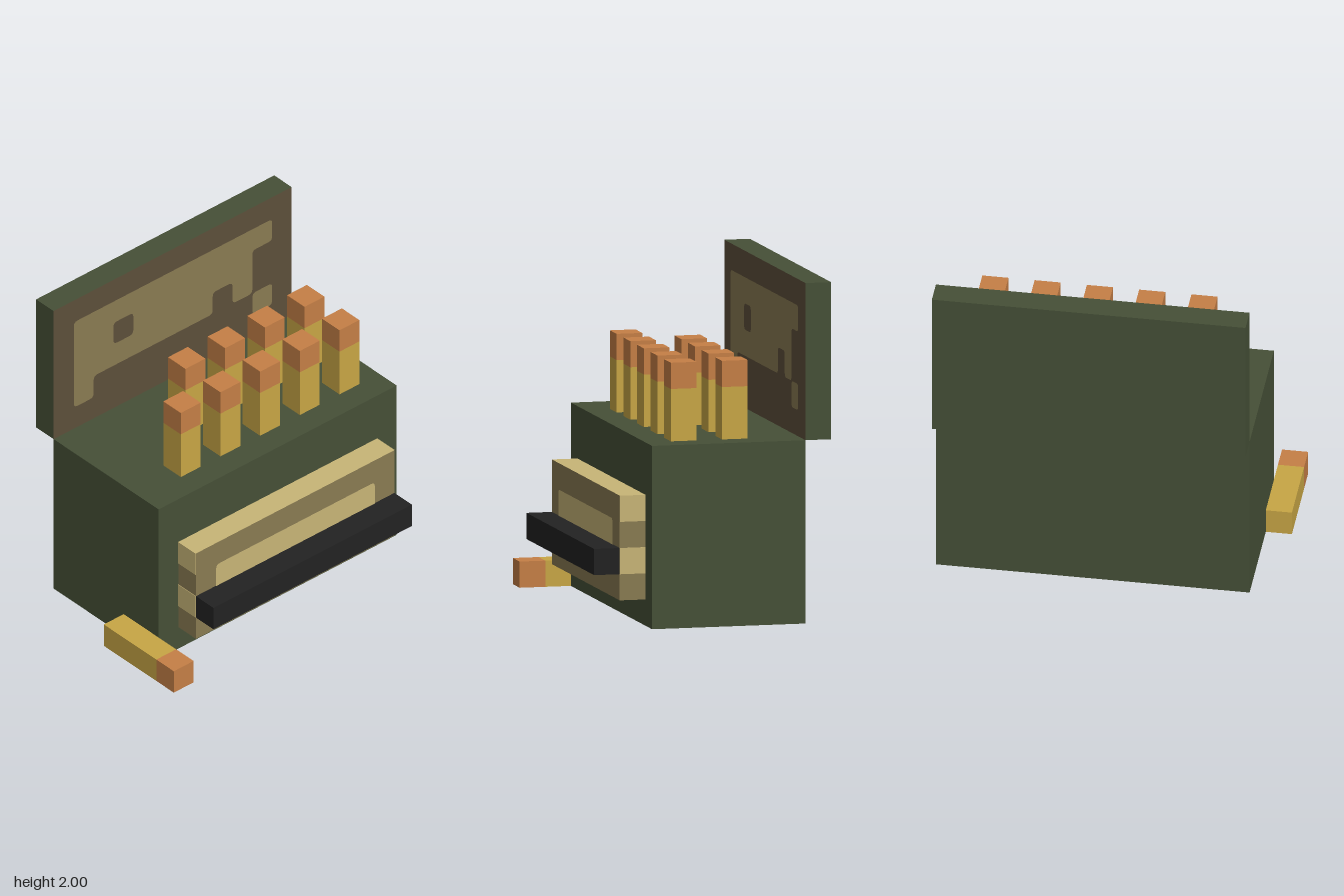
import * as THREE from 'three';

const U = 2 / 13; // the model sits on a grid of thirteen cells

const mat = (name, color) => {
  const m = new THREE.MeshStandardMaterial({ color });
  m.name = name;
  return m;
};

// Path through grid points with slightly rounded corners
function roundedPath(path, pts, r = 0.03) {
  const v = pts.map(([x, y]) => new THREE.Vector2(x * U, y * U));
  v.forEach((p, i) => {
    const prev = v[(i + v.length - 1) % v.length], next = v[(i + 1) % v.length];
    const a = p.clone().add(prev.clone().sub(p).setLength(r));
    const b = p.clone().add(next.clone().sub(p).setLength(r));
    if (i === 0) path.moveTo(a.x, a.y); else path.lineTo(a.x, a.y);
    path.quadraticCurveTo(p.x, p.y, b.x, b.y);
  });
  path.closePath();
  return path;
}

const rect = (x0, x1, y0, y1) => [[x0, y1], [x1, y1], [x1, y0], [x0, y0]];

export function createModel() {
  const green = mat('army green', 0x465037);
  const brown = mat('dark brown', 0x5d4f3a);
  const olive = mat('olive tan', 0x897b52);
  const tan = mat('light tan', 0xc8b577);
  const black = mat('black', 0x222222);
  const brass = mat('brass', 0xc8a645);
  const copper = mat('copper', 0xc57f46);

  const model = new THREE.Group();
  model.name = 'ammunitionBox';

  // Box between two corners given in grid cells
  function block(parent, name, material, x0, x1, y0, y1, z0, z1) {
    const mesh = new THREE.Mesh(
      new THREE.BoxGeometry((x1 - x0) * U, (y1 - y0) * U, (z1 - z0) * U), material);
    mesh.position.set((x0 + x1) * U / 2, (y0 + y1) * U / 2, (z0 + z1) * U / 2);
    mesh.name = name;
    parent.add(mesh);
    return mesh;
  }

  // Thin painted patch facing the front
  function patch(name, material, shape, z) {
    const mesh = new THREE.Mesh(new THREE.ShapeGeometry(shape, 4), material);
    mesh.position.z = z * U + 0.003;
    mesh.name = name;
    model.add(mesh);
  }

  // Case and open lid with a brown inner face
  block(model, 'case', green, -5.5, 6.5, 0, 7, -3.5, 2.5);
  block(model, 'lid', [green, green, green, green, brown, green], -5.5, 6.5, 7, 13, -4.5, -3.5);

  // Worn paint inside the lid
  const worn = roundedPath(new THREE.Shape(), [
    [-4.5, 12], [5.5, 12], [5.5, 11], [4.5, 11], [4.5, 9], [3.5, 9], [3.5, 10],
    [2.5, 10], [2.5, 9], [-3.5, 9], [-3.5, 8], [-4.5, 8],
  ]);
  worn.holes.push(roundedPath(new THREE.Path(), rect(-2.5, -1.5, 10, 11)));
  patch('lidWornPaint', olive, worn, -3.5);
  patch('lidWornSpot', olive, roundedPath(new THREE.Shape(), rect(4.5, 5.5, 8, 9)), -3.5);

  // Front panel with a light centre and striped sides
  block(model, 'frontPanel', [olive, olive, tan, tan, olive, olive], -4.5, 5.5, 1, 5, 2.5, 3.5);
  patch('panelCentre', tan, roundedPath(new THREE.Shape(), rect(-3.5, 4.5, 2, 4)), 3.5);
  for (const y of [2, 4]) {
    block(model, 'panelStripeLeft', tan, 5.5, 5.52, y, y + 1, 2.5, 3.5);
    block(model, 'panelStripeRight', tan, -4.52, -4.5, y, y + 1, 2.5, 3.5);
  }

  // Handle bar
  block(model, 'handle', black, -4.5, 5.5, 2, 3, 3.5, 4.5);

  // Upright cartridges: five in the front row, four in the back row
  function cartridge(x, z) {
    const g = new THREE.Group();
    g.name = 'cartridge';
    block(g, 'casing', brass, x, x + 1, 7, 9, z, z + 1);
    block(g, 'tip', copper, x, x + 1, 9, 10, z, z + 1);
    model.add(g);
  }
  for (let i = 0; i < 5; i++) {
    cartridge(4.5 - 2 * i, 0.5);
    if (i < 4) cartridge(4.5 - 2 * i, -1.5);
  }

  // Loose cartridge lying beside the case
  const loose = new THREE.Group();
  loose.name = 'looseCartridge';
  block(loose, 'casing', brass, -6.5, -5.5, 0, 1, 0.5, 3.5);
  block(loose, 'tip', copper, -6.5, -5.5, 0, 1, 3.5, 4.5);
  model.add(loose);

  return model;
}
